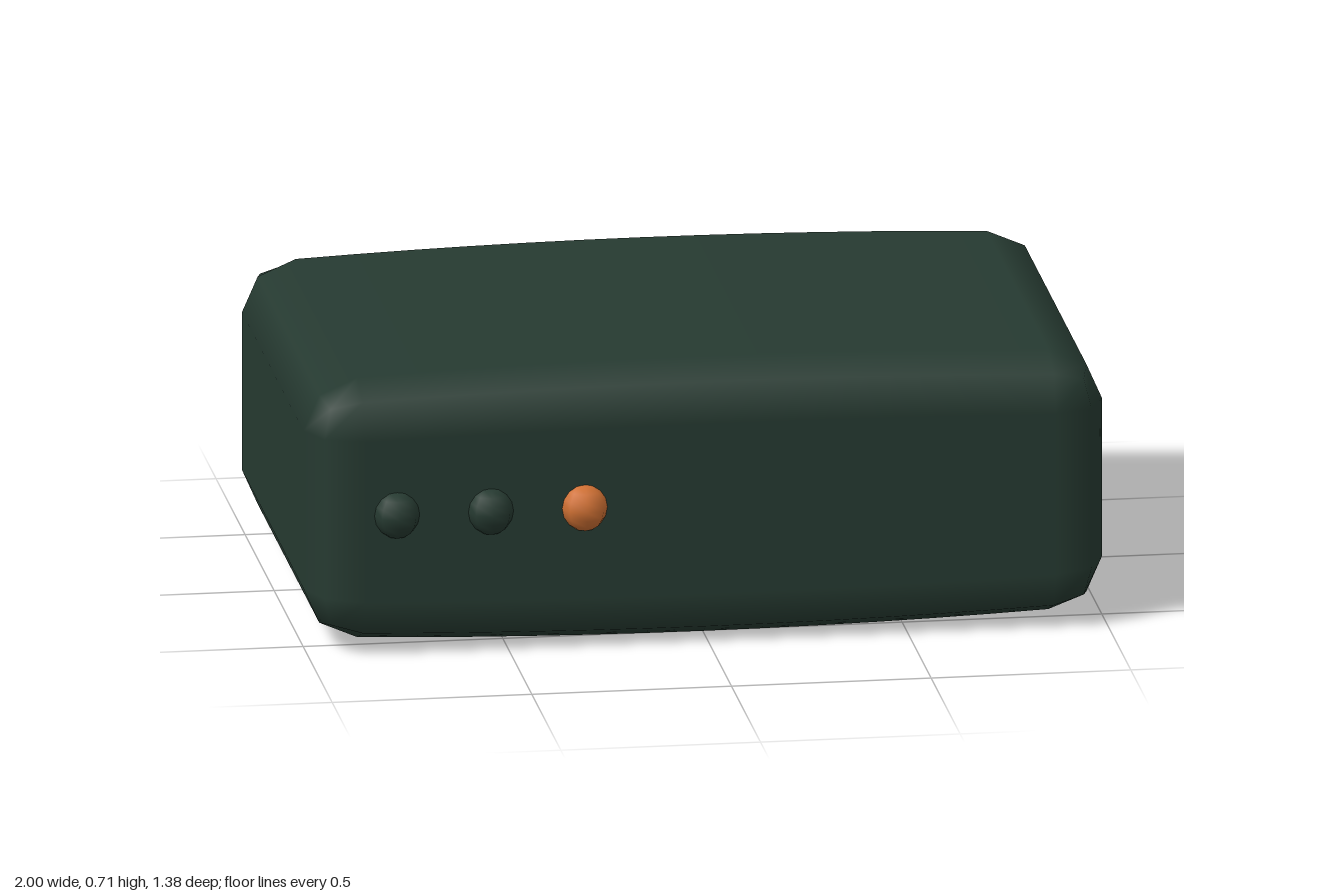
import * as THREE from 'three';

// Box with two-step rounded edges whose height swells gently towards mid-length
function roundedBody(half, r, xSteps, swell) {
  const geo = new THREE.BoxGeometry(2, 2, 2, xSteps + 2, 3, 3);
  const pos = geo.attributes.position, nor = geo.attributes.normal;
  const inner = half.clone().subScalar(r);
  // First and last grid steps span the rounding, the rest the flat face
  const place = (u, steps, h, flat) => {
    const k = Math.round((u + 1) / 2 * steps);
    if (k === 0) return -h;
    if (k === steps) return h;
    return flat * (2 * (k - 1) / (steps - 2) - 1);
  };
  const p = new THREE.Vector3(), core = new THREE.Vector3(), n = new THREE.Vector3();
  for (let i = 0; i < pos.count; i++) {
    p.set(
      place(pos.getX(i), xSteps + 2, half.x, inner.x),
      place(pos.getY(i), 3, half.y, inner.y),
      place(pos.getZ(i), 3, half.z, inner.z)
    );
    core.copy(p).clamp(inner.clone().negate(), inner);
    n.copy(p).sub(core).normalize();
    p.copy(core).addScaledVector(n, r);
    const s = 1 - swell * p.x * p.x, slope = -2 * swell * p.x;
    n.set(n.x - n.y * p.y * slope / s, n.y / s, n.z).normalize();
    pos.setXYZ(i, p.x, p.y * s, p.z);
    nor.setXYZ(i, n.x, n.y, n.z);
  }
  return geo;
}

export function createModel() {
  const model = new THREE.Group();
  model.name = 'consoleBox';

  const darkGreen = new THREE.MeshStandardMaterial({ color: 0x263a31 });
  darkGreen.name = 'darkGreen';
  const orange = new THREE.MeshStandardMaterial({ color: 0xcf7033 });
  orange.name = 'orange';

  // Casing
  const body = new THREE.Mesh(roundedBody(new THREE.Vector3(1, 0.355, 0.665), 0.135, 12, 0.075), darkGreen);
  body.name = 'body';
  body.position.set(0, 0.355, -0.025);
  model.add(body);

  // Row of round buttons on the front
  const ball = new THREE.SphereGeometry(0.06, 8, 8);
  [[-0.785, darkGreen], [-0.55, darkGreen], [-0.315, orange]].forEach(([x, material], i) => {
    const button = new THREE.Mesh(ball, material);
    button.name = material === orange ? 'orangeButton' : 'darkButton' + (i + 1);
    button.position.set(x, 0.37, 0.632);
    model.add(button);
  });

  return model;
}
